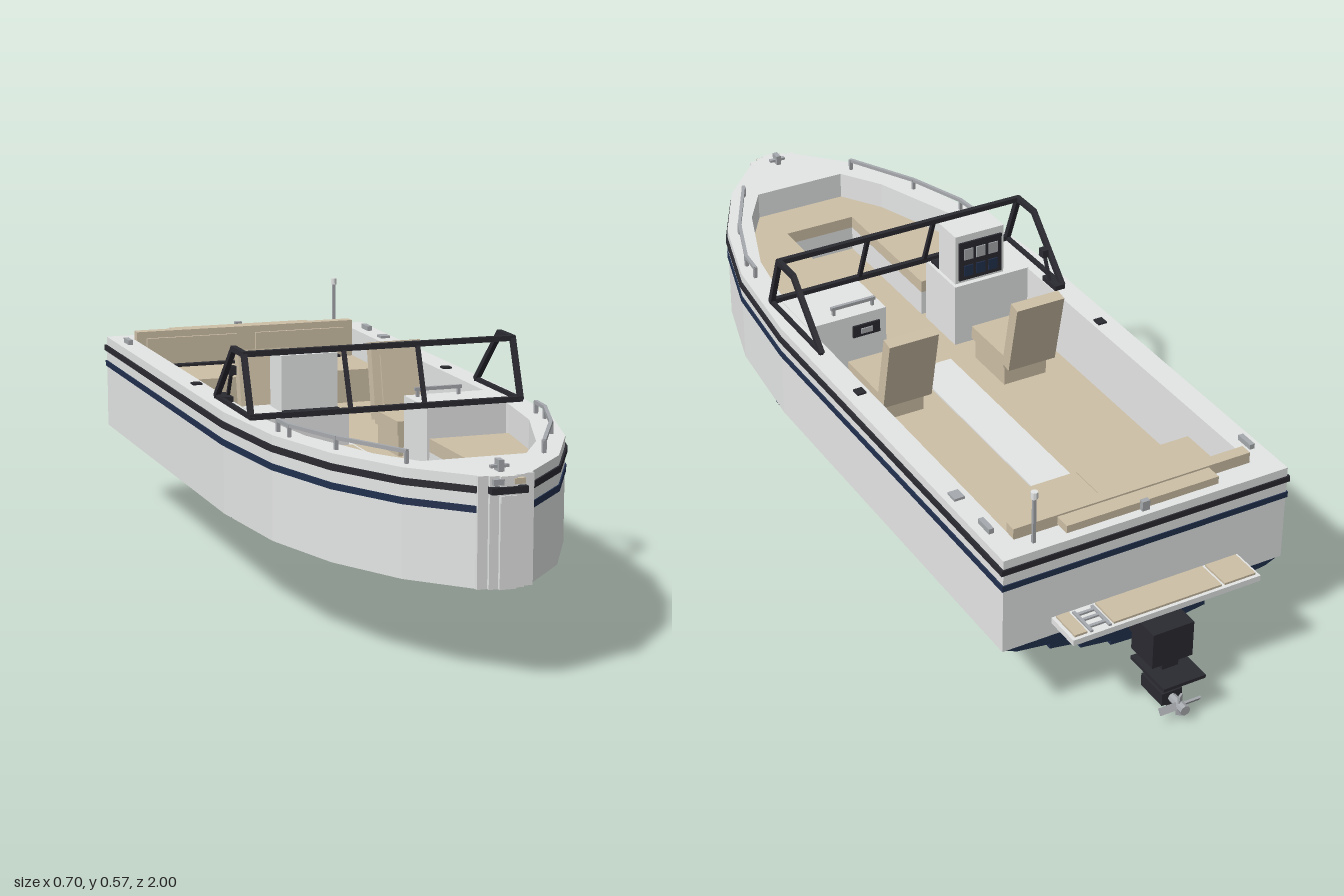
import * as THREE from 'three';

const material = (name, color, side = THREE.FrontSide) => {
  const m = new THREE.MeshStandardMaterial({ color, side, flatShading: true });
  m.name = name;
  return m;
};

export function createModel() {
  const white = material('hull white', 0xe4e6e5);
  const pale = material('pale panel', 0xf6f8f7);
  const tan = material('tan upholstery', 0xcdbfa6);
  const dark = material('charcoal', 0x2a2a31);
  const navy = material('navy paint', 0x21304e, THREE.DoubleSide);
  const metal = material('metal grey', 0xa6a9ad);
  const root = new THREE.Group();
  root.name = 'motorboat';

  const add = (name, geo, mat, parent = root) => {
    const m = new THREE.Mesh(geo, mat);
    m.name = name;
    parent.add(m);
    return m;
  };
  // Box given by its lower and upper limits
  const box = (name, mat, [x0, x1], [y0, y1], [z0, z1], parent = root) => {
    const g = new THREE.BoxGeometry(x1 - x0, y1 - y0, z1 - z0);
    return add(name, g.translate((x0 + x1) / 2, (y0 + y1) / 2, (z0 + z1) / 2), mat, parent);
  };
  // Square bar between two points
  const bar = (name, mat, a, b, w, parent = root) => {
    const p = new THREE.Vector3(...a), q = new THREE.Vector3(...b);
    const m = add(name, new THREE.BoxGeometry(w, w, p.distanceTo(q) + w * 0.5), mat, parent);
    m.position.copy(p).add(q).multiplyScalar(0.5);
    m.lookAt(q);
    return m;
  };
  const mirror = half => [...half, ...half.map(([x, z]) => [-x, z]).reverse()];
  const grow = (pts, sx, sz = sx) => pts.map(([x, z]) => [x * sx, z * sz]);
  // Upright prism from a plan outline of [x, z] points; the hole runs the other way round
  const prism = (name, mat, pts, y0, y1, hole) => {
    const v = list => list.map(([x, z]) => new THREE.Vector2(x, -z));
    const s = new THREE.Shape(v(pts));
    if (hole) s.holes.push(new THREE.Path(v(hole).reverse()));
    const g = new THREE.ExtrudeGeometry(s, { depth: y1 - y0, bevelEnabled: false });
    return add(name, g.rotateX(-Math.PI / 2).translate(0, y0, 0), mat);
  };

  // Hull sides, gunwale and cockpit floor
  const outline = mirror([[0.346, -0.83], [0.346, 0.2], [0.32, 0.47], [0.26, 0.68], [0.17, 0.85], [0.06, 0.968]]);
  const bowWell = [[0.28, 0.33], [0.255, 0.5], [0.18, 0.71], [0.115, 0.81]];
  const cockpit = mirror([[0.29, -0.775], [0.29, 0.2], ...bowWell]);
  prism('hullBase', white, outline, 0.2, 0.27);
  prism('hullSides', white, outline, 0.27, 0.43, cockpit);
  prism('cockpitFloor', tan, grow(cockpit, 0.998), 0.268, 0.274);
  box('floorRunner', white, [-0.05, 0.05], [0.272, 0.278], [-0.46, 0.11]);
  prism('rubRail', dark, grow(outline, 1.016, 1.004), 0.395, 0.409, grow(outline, 0.99));
  prism('hullStripe', navy, grow(outline, 1.01, 1.003), 0.355, 0.369, grow(outline, 0.99));

  // Stem
  box('stem', white, [-0.06, 0.06], [0.2, 0.43], [0.94, 0.978]);
  box('stem', white, [-0.038, 0.038], [0.2, 0.43], [0.97, 0.986]);
  box('stem', white, [-0.018, 0.018], [0.2, 0.43], [0.98, 0.994]);
  box('bowRubRail', dark, [-0.039, 0.039], [0.395, 0.409], [0.96, 1]);
  box('bowEye', white, [-0.018, 0.018], [0.376, 0.391], [0.98, 0.997]);
  box('bowLight', metal, [-0.034, -0.011], [0.413, 0.425], [0.98, 0.996]);
  box('bowLight', tan, [0.011, 0.034], [0.413, 0.425], [0.98, 0.996]);

  // Stepped bottom lofted through stations of [z, width, depth]
  const half = [[0.343, 0], [0.31, 0.015], [0.23, 0.026], [0.23, 0.038], [0.155, 0.05],
    [0.155, 0.064], [0.08, 0.074], [0.08, 0.085], [0.02, 0.088], [0.02, 0.096]];
  const section = mirror(half);
  const stations = [[-0.827, 1, 1], [0.25, 1, 1], [0.97, 0.12, 0.02]];
  const pos = [], idx = [], n = section.length;
  stations.forEach(([z, w, d], j) => section.forEach(([x, y], i) => {
    pos.push(x * w, 0.201 - y * d, z);
    if (j < stations.length - 1 && i < n - 1) {
      const a = j * n + i;
      idx.push(a, a + n, a + 1, a + 1, a + n, a + n + 1);
    }
  }));
  let loft = new THREE.BufferGeometry();
  loft.setAttribute('position', new THREE.Float32BufferAttribute(pos, 3));
  loft.setIndex(idx);
  loft = loft.toNonIndexed();
  loft.computeVertexNormals();
  add('hullBottom', loft, navy);
  const cap = new THREE.Shape(section.map(([x, y]) => new THREE.Vector2(x, 0.201 - y)));
  add('bottomTransom', new THREE.ShapeGeometry(cap).rotateY(Math.PI).translate(0, 0, -0.827), navy);

  // Bow seating around a footwell
  const bowSeat = mirror([[0.09, 0.33], ...grow(bowWell, 0.998, 1)]);
  bowSeat.push([-0.09, 0.7], [0.09, 0.7]);
  prism('bowSeatBase', white, bowSeat, 0.27, 0.335);
  prism('bowCushion', tan, bowSeat, 0.335, 0.365);

  // Consoles
  for (const s of [-1, 1]) {
    const b = box('consoleBase', white, [-0.1, 0.1], [0.27, 0.432], [0.165, 0.31]);
    b.position.x = s * 0.192;
  }
  box('helmPod', white, [-0.23, -0.1], [0.43, 0.558], [0.178, 0.252]);
  box('helmFrontPanel', pale, [-0.23, -0.1], [0.43, 0.558], [0.251, 0.258]);
  box('helmPanel', dark, [-0.222, -0.108], [0.44, 0.54], [0.173, 0.179]);
  for (let i = 0; i < 3; i++) for (let j = 0; j < 2; j++) {
    const x = -0.198 + i * 0.033, y = 0.465 + j * 0.044;
    box('gauge', j ? metal : navy, [x - 0.012, x + 0.012], [y - 0.014, y + 0.014], [0.17, 0.175]);
  }
  box('dashCover', dark, [-0.23, -0.1], [0.431, 0.437], [0.26, 0.3]);
  box('gloveBoxPanel', dark, [0.11, 0.18], [0.375, 0.405], [0.16, 0.166]);
  box('gloveBoxLatch', metal, [0.13, 0.16], [0.383, 0.396], [0.157, 0.162]);
  bar('grabHandle', metal, [0.11, 0.45, 0.19], [0.22, 0.45, 0.19], 0.008);
  for (const x of [0.115, 0.215]) bar('grabHandlePost', metal, [x, 0.43, 0.19], [x, 0.45, 0.19], 0.007);
  box('throttleBase', dark, [-0.318, -0.292], [0.43, 0.442], [0.04, 0.1]);
  bar('throttleLever', dark, [-0.296, 0.435, 0.07], [-0.296, 0.5, 0.1], 0.007);
  box('throttleKnob', dark, [-0.303, -0.288], [0.493, 0.513], [0.092, 0.112]);

  // Windshield frame
  const frame = new THREE.Group();
  frame.name = 'windshieldFrame';
  root.add(frame);
  const w = 0.012;
  bar('topRail', dark, [-0.317, 0.567, 0.26], [0.317, 0.567, 0.26], w, frame);
  bar('bottomRail', dark, [-0.317, 0.437, 0.31], [0.317, 0.437, 0.31], w, frame);
  for (const s of [-1, 1]) {
    const x = s * 0.316;
    bar('frontPost', dark, [x, 0.437, 0.31], [x, 0.567, 0.26], w, frame);
    bar('centrePost', dark, [s * 0.087, 0.437, 0.31], [s * 0.087, 0.567, 0.26], 0.009, frame);
    bar('sideTop', dark, [x, 0.567, 0.26], [x, 0.567, 0.185], w, frame);
    bar('rearPost', dark, [x, 0.567, 0.185], [x, 0.437, 0.05], w, frame);
    bar('sideSill', dark, [x, 0.436, 0.31], [x, 0.436, 0.05], 0.009, frame);
  }

  // Helm and companion seats
  for (const s of [-1, 1]) {
    const seat = new THREE.Group();
    seat.name = 'seat';
    seat.position.set(s * 0.163, 0, 0);
    root.add(seat);
    box('seatBase', tan, [-0.056, 0.056], [0.27, 0.325], [-0.045, 0.092], seat);
    box('seatCushion', tan, [-0.062, 0.062], [0.325, 0.358], [-0.05, 0.1], seat);
    box('seatHinge', dark, [-0.055, 0.055], [0.34, 0.364], [-0.066, -0.04], seat);
    const back = new THREE.Group();
    back.name = 'seatBack';
    back.position.set(0, 0.335, -0.045);
    back.rotation.x = -0.2;
    seat.add(back);
    box('backrest', tan, [-0.062, 0.062], [0, 0.182], [-0.03, 0], back);
    box('backPad', tan, [-0.042, 0.042], [0.03, 0.152], [0, 0.007], back);
  }

  // Aft bench and sun pad
  box('benchBase', tan, [-0.289, 0.289], [0.27, 0.33], [-0.77, -0.55]);
  for (const s of [-1, 1]) {
    const x = s * 0.1445;
    box('benchCushion', tan, [x - 0.1435, x + 0.1435], [0.33, 0.36], [-0.735, -0.54]);
    box('benchBackPad', tan, [x - 0.12, x + 0.12], [0.375, 0.435], [-0.745, -0.734]);
  }
  box('benchBack', tan, [-0.289, 0.289], [0.33, 0.452], [-0.77, -0.742]);
  box('benchGap', dark, [-0.25, 0.25], [0.355, 0.366], [-0.742, -0.722]);
  box('sternPad', tan, [-0.185, 0.185], [0.43, 0.448], [-0.808, -0.765]);

  // Bow rails
  for (const s of [-1, 1]) {
    const path = [[0.297, 0.44], [0.292, 0.5], [0.24, 0.65], [0.15, 0.82]].map(([x, z]) => [s * x, 0.455, z]);
    path.forEach((p, i) => {
      if (i) bar('bowRail', metal, path[i - 1], p, 0.008);
      bar('bowRailPost', metal, [p[0], 0.428, p[2]], p, 0.008);
    });
  }

  // Deck fittings
  for (const s of [-1, 1]) {
    const x = s * 0.32;
    box('sternCleat', metal, [x - 0.006, x + 0.006], [0.43, 0.442], [-0.735, -0.69]);
    box('cupHolder', dark, [s * 0.311 - 0.011, s * 0.311 + 0.011], [0.428, 0.434], [-0.142, -0.118]);
  }
  box('fuelCap', metal, [0.307, 0.331], [0.428, 0.436], [-0.6, -0.57]);
  box('bowCleat', metal, [-0.02, 0.02], [0.437, 0.443], [0.937, 0.947]);
  box('bowCleatFoot', metal, [-0.006, 0.006], [0.43, 0.454], [0.93, 0.954]);
  box('sternHook', metal, [-0.009, 0.009], [0.43, 0.453], [-0.818, -0.806]);
  bar('lightPole', metal, [0.26, 0.43, -0.802], [0.26, 0.54, -0.802], 0.007);
  add('sternLight', new THREE.CylinderGeometry(0.008, 0.008, 0.016, 8).translate(0.26, 0.547, -0.802), white);

  // Swim platform
  box('swimPlatform', white, [-0.23, 0.23], [0.232, 0.246], [-0.918, -0.828]);
  for (const [a, b] of [[-0.222, -0.145], [-0.137, 0.128], [0.192, 0.222]])
    box('platformPad', tan, [a, b], [0.244, 0.251], [-0.91, -0.835]);
  for (const x of [0.138, 0.182]) bar('ladderSide', metal, [x, 0.247, -0.91], [x, 0.247, -0.84], 0.007);
  for (const z of [-0.895, -0.87, -0.85]) bar('ladderStep', metal, [0.138, 0.247, z], [0.182, 0.247, z], 0.007);
  for (const s of [-1, 1]) bar('platformStrut', metal, [s * 0.14, 0.165, -0.825], [s * 0.14, 0.23, -0.905], 0.014);

  // Stern drive and propeller
  box('driveMount', dark, [-0.035, 0.035], [0.14, 0.205], [-0.87, -0.82]);
  box('driveHead', dark, [-0.05, 0.05], [0.12, 0.207], [-0.942, -0.86]);
  box('driveLeg', dark, [-0.02, 0.02], [0.03, 0.125], [-0.935, -0.875]);
  box('cavitationPlate', dark, [-0.052, 0.052], [0.093, 0.101], [-0.992, -0.862]);
  box('gearcase', dark, [-0.025, 0.025], [0.015, 0.046], [-0.948, -0.866]);
  box('skeg', dark, [-0.005, 0.005], [0, 0.018], [-0.94, -0.885]);
  add('propellerHub', new THREE.CylinderGeometry(0.01, 0.012, 0.054, 8).rotateX(Math.PI / 2).translate(0, 0.03, -0.973), metal);
  for (let i = 0; i < 4; i++) {
    const r = i % 2 ? 0.026 : 0.05;
    const blade = new THREE.BoxGeometry(r, 0.016, 0.005).rotateX(0.6).translate(r / 2, 0, 0);
    add('propellerBlade', blade.rotateZ(i * Math.PI / 2).translate(0, 0.03, -0.978), metal);
  }
  return root;
}
